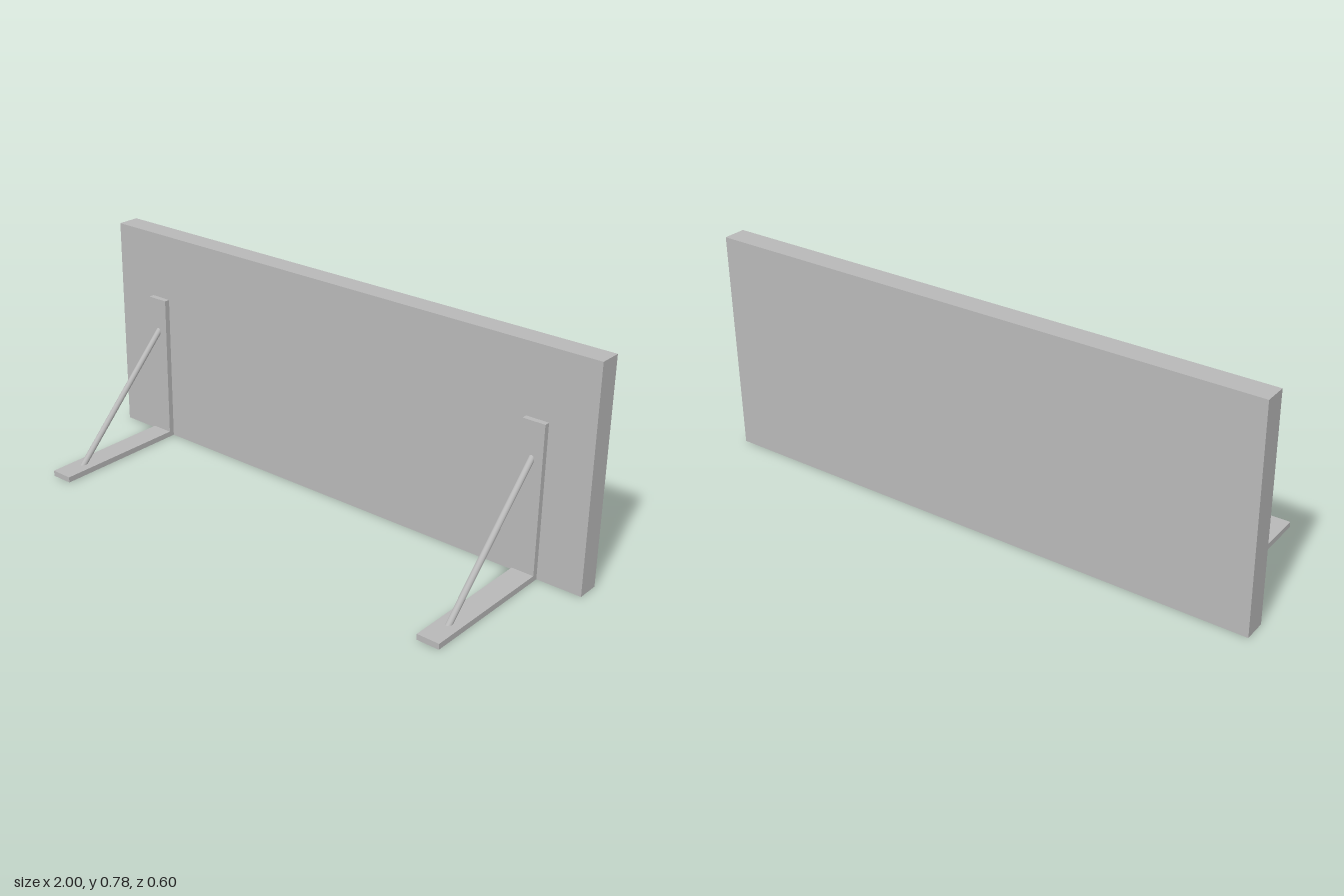
import * as THREE from 'three';

export function createModel() {
  const model = new THREE.Group();
  model.name = 'standingPanel';
  const grey = new THREE.MeshStandardMaterial({ color: 0xb8b8b8 });
  grey.name = 'plain grey';

  // Upright panel
  const panel = new THREE.Mesh(new THREE.BoxGeometry(2, 0.78, 0.08), grey);
  panel.name = 'panel';
  panel.position.set(0, 0.39, -0.26);
  model.add(panel);

  // L-shaped bracket profile: shape x runs along world z
  const width = 0.08;
  const profile = new THREE.Shape([
    [-0.22, 0], [0.3, 0], [0.3, 0.02], [-0.2, 0.02], [-0.2, 0.54], [-0.22, 0.54],
  ].map(([z, y]) => new THREE.Vector2(z, y)));
  const bracketGeometry = new THREE.ExtrudeGeometry(profile, { depth: width, bevelEnabled: false });
  bracketGeometry.translate(0, 0, -width / 2).rotateY(-Math.PI / 2);

  // Diagonal rod, its ends sunk into the bracket plates
  const low = new THREE.Vector3(0, 0.012, 0.201);
  const high = new THREE.Vector3(0, 0.421, -0.208);
  const rodGeometry = new THREE.CylinderGeometry(0.0105, 0.0105, low.distanceTo(high), 32);
  rodGeometry.rotateX(-Math.PI / 4);
  const rodCentre = low.clone().add(high).multiplyScalar(0.5);

  // One support near each end
  for (const [side, x] of [['left', 0.8], ['right', -0.8]]) {
    const support = new THREE.Group();
    support.name = side + 'Support';
    support.position.x = x;
    const bracket = new THREE.Mesh(bracketGeometry, grey);
    bracket.name = side + 'Bracket';
    const rod = new THREE.Mesh(rodGeometry, grey);
    rod.name = side + 'BraceRod';
    rod.position.copy(rodCentre);
    support.add(bracket, rod);
    model.add(support);
  }
  return model;
}
